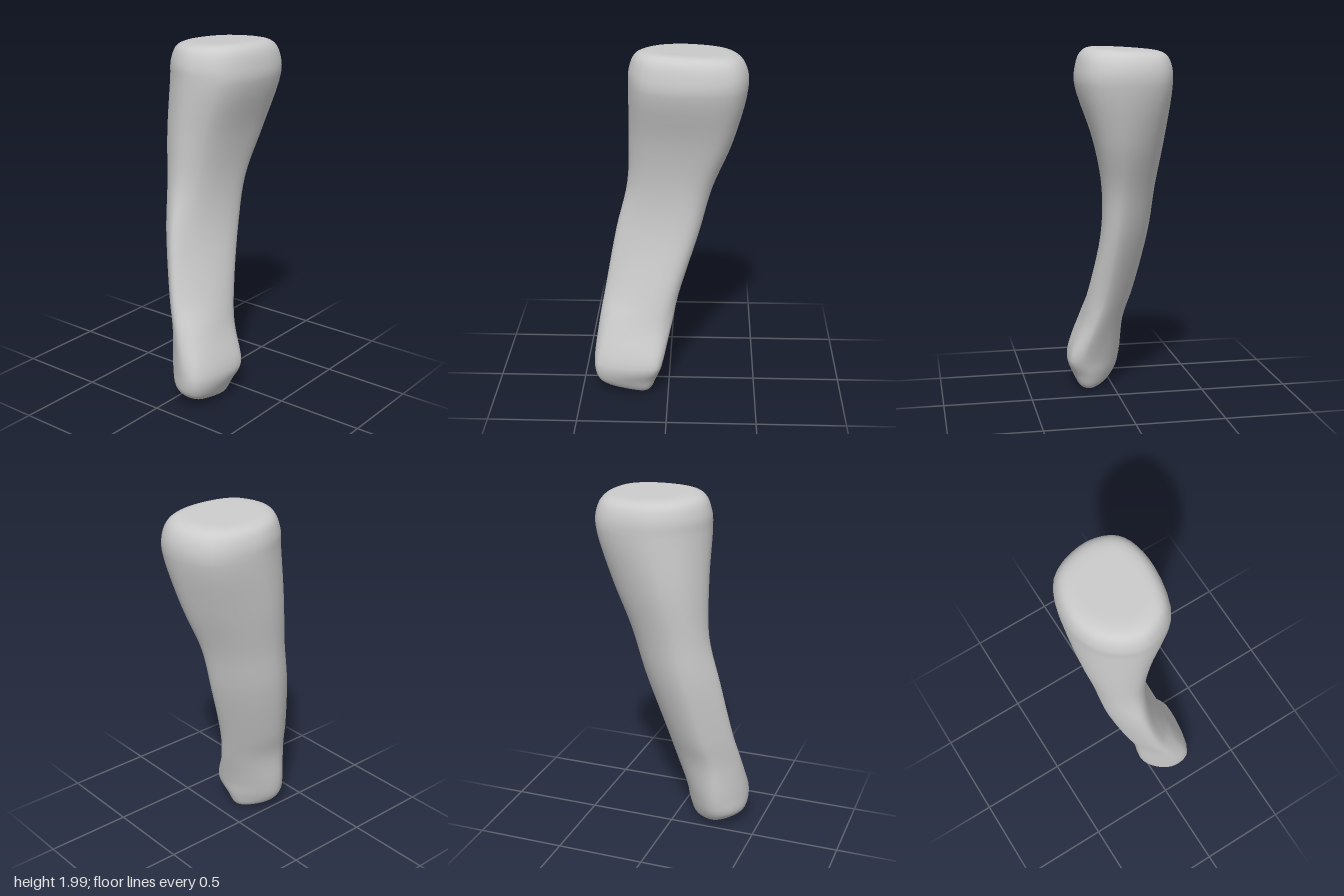
import * as THREE from 'three';

const AROUND = 40; // vertices in each ring
const ALONG = 75;  // rings along the shaft

// Cross-sections from bottom to top: y, then eight [x, z] points running
// right, front right, front, front left, left, back left, back, back right
const SECTIONS = [
  [0.1, -0.028, 0.27, 0.022, 0.36, 0.12, 0.411, 0.205, 0.385, 0.237, 0.15, 0.215, 0.088, 0.15, 0.07, 0.045, 0.14],
  [0.2, -0.052, 0.27, 0.005, 0.355, 0.13, 0.425, 0.217, 0.4, 0.27, 0.09, 0.245, 0.048, 0.18, 0.036, 0.025, 0.125],
  [0.42, -0.07, 0.245, -0.02, 0.33, 0.075, 0.4, 0.16, 0.345, 0.2, 0.12, 0.182, 0.028, 0.125, -0.018, -0.01, 0.08],
  [0.6, -0.12, 0.2, -0.07, 0.295, 0.02, 0.367, 0.095, 0.295, 0.16, 0.08, 0.143, -0.02, 0.07, -0.058, -0.065, 0.05],
  [0.95, -0.192, 0.12, -0.14, 0.235, -0.04, 0.302, 0.04, 0.2, 0.103, -0.015, 0.092, -0.125, 0.025, -0.167, -0.12, -0.06],
  [1.22, -0.219, 0.065, -0.165, 0.19, -0.055, 0.238, 0.042, 0.158, 0.105, -0.07, 0.09, -0.19, 0.01, -0.24, -0.14, -0.14],
  [1.5, -0.256, 0, -0.195, 0.15, -0.04, 0.225, 0.095, 0.142, 0.165, -0.15, 0.135, -0.295, 0.02, -0.35, -0.16, -0.255],
  [1.8, -0.273, -0.08, -0.195, 0.12, -0.01, 0.222, 0.187, 0.14, 0.262, -0.17, 0.2, -0.362, 0.03, -0.424, -0.195, -0.342],
];

// Smooth closed ring through the eight points of one section
function sectionRing([y, ...p]) {
  const pts = [];
  for (let i = 0; i < p.length; i += 2) pts.push(new THREE.Vector3(p[i], y, p[i + 1]));
  const curve = new THREE.CatmullRomCurve3(pts, true);
  return Array.from({ length: AROUND }, (_, i) => curve.getPoint(i / AROUND));
}

// Shrunken copy of a ring at height y, tilted along x and z, for the rounded ends
function capRing(ring, scaleX, scaleZ, y, tiltX, tiltZ) {
  const c = ring.reduce((s, v) => s.add(v), new THREE.Vector3()).divideScalar(ring.length);
  return ring.map((v) => {
    const dx = (v.x - c.x) * scaleX, dz = (v.z - c.z) * scaleZ;
    return new THREE.Vector3(c.x + dx, y + tiltX * dx + tiltZ * dz, c.z + dz);
  });
}

// Skin the key rings with splines running along the shaft
function loft(rings) {
  const columns = Array.from({ length: AROUND }, (_, i) =>
    new THREE.CatmullRomCurve3(rings.map((r) => r[i])));
  const pos = [], index = [];
  for (let j = 0; j <= ALONG; j++) {
    for (const col of columns) pos.push(...col.getPoint(j / ALONG).toArray());
  }
  for (let j = 0; j < ALONG; j++) {
    for (let i = 0; i < AROUND; i++) {
      const a = j * AROUND + i, b = j * AROUND + (i + 1) % AROUND;
      index.push(a, b, b + AROUND, a, b + AROUND, a + AROUND);
    }
  }
  const geo = new THREE.BufferGeometry();
  geo.setAttribute('position', new THREE.Float32BufferAttribute(pos, 3));
  geo.setIndex(index);
  geo.computeVertexNormals();
  return geo;
}

export function createModel() {
  const rings = SECTIONS.map(sectionRing);
  const low = rings[0], high = rings[rings.length - 1];
  const geo = loft([
    // narrow lower end, lowest at the back
    capRing(low, 0.001, 0.001, 0.015, 0, 0.2),
    capRing(low, 0.35, 0.45, 0.018, 0, 0.2),
    capRing(low, 0.7, 0.78, 0.04, 0, 0.14),
    ...rings,
    // broad, nearly flat upper end
    capRing(high, 0.985, 0.985, 1.89, 0, 0),
    capRing(high, 0.89, 0.89, 1.957, 0.02, 0.03),
    capRing(high, 0.74, 0.74, 1.983, 0.04, 0.03),
    capRing(high, 0.35, 0.35, 1.988, 0.04, 0.03),
    capRing(high, 0.001, 0.001, 1.988, 0.04, 0.03),
  ]);

  const bone = new THREE.Mesh(geo, new THREE.MeshStandardMaterial({ color: 0xcccccc }));
  bone.name = 'bone';
  const group = new THREE.Group();
  group.name = 'boneModel';
  group.add(bone);
  return group;
}
